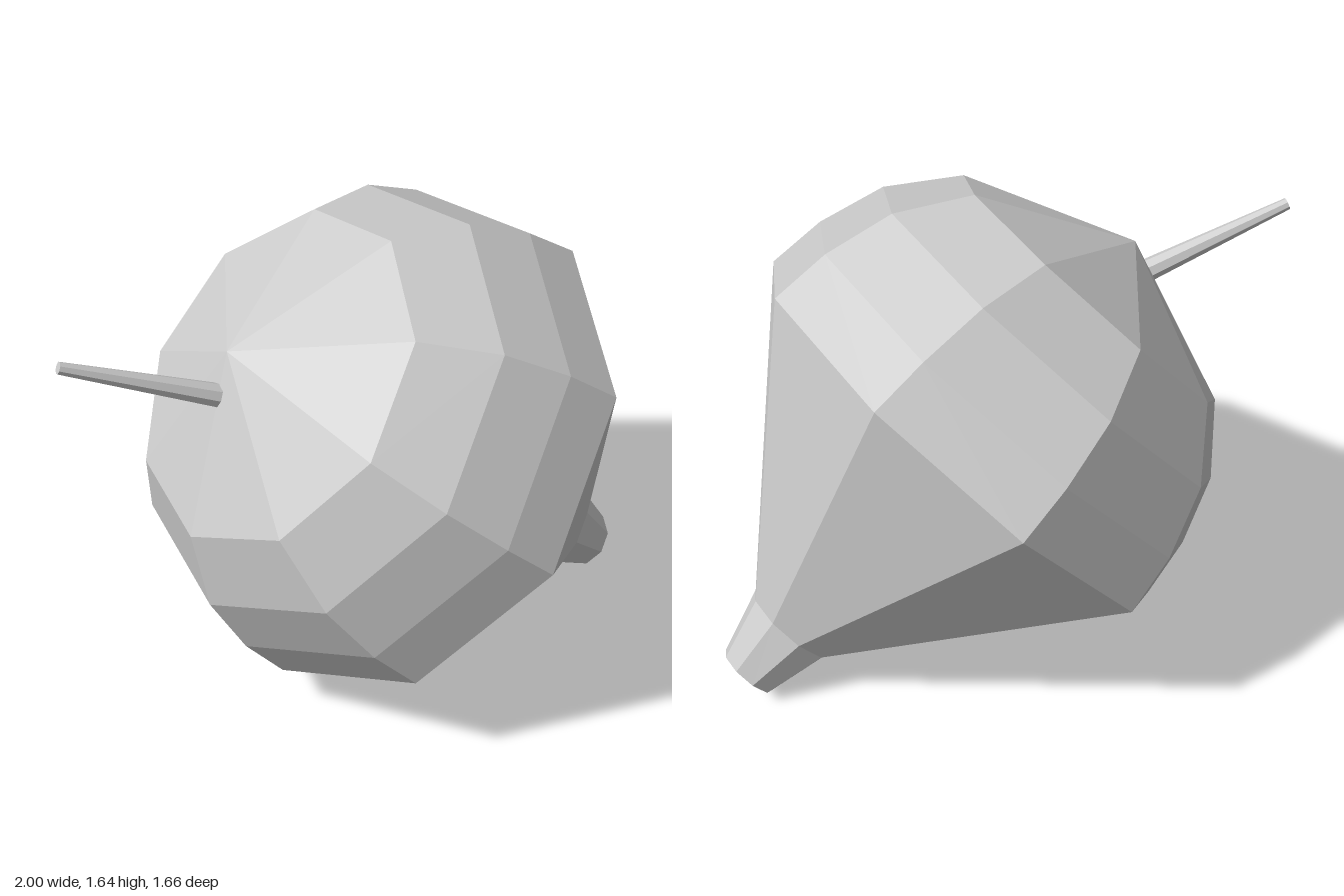
import * as THREE from 'three';

const SIDES = 9;

export function createModel() {
  const group = new THREE.Group();
  const material = new THREE.MeshStandardMaterial({ color: 0xcccccc, flatShading: true });

  // Tilted frame: local y runs from the crown of the dome down to the tip
  const axis = new THREE.Vector3(0.725, -0.671, -0.16).normalize();
  const side = new THREE.Vector3(0.68, 0.73, 0).projectOnPlane(axis).normalize();
  const across = new THREE.Vector3().crossVectors(axis, side);
  const frame = new THREE.Matrix4()
    .makeBasis(across, axis, side)
    .setPosition(-0.47, 1.37, 0.13);

  // Adds one faceted section of the body from [radius, distance] pairs
  function addSection(name, profile) {
    const points = profile.map(([r, t]) => new THREE.Vector2(r, t));
    const mesh = new THREE.Mesh(new THREE.LatheGeometry(points, SIDES), material);
    mesh.name = name;
    mesh.applyMatrix4(frame);
    group.add(mesh);
  }

  addSection('dome', [[0, 0], [0.565, 0.217], [0.741, 0.424], [0.823, 0.651], [0.853, 0.854]]);
  addSection('cone', [[0.853, 0.854], [0.165, 1.71]]);
  addSection('tip', [[0.165, 1.71], [0.105, 1.93], [0, 1.93]]);

  // Thin tapered stick leaning out of the dome beside its crown
  const start = new THREE.Vector3(-0.51, 1.232, 0.152);
  const end = new THREE.Vector3(-0.992, 1.428, 0.143);
  const direction = end.clone().sub(start);
  const stick = new THREE.Mesh(
    new THREE.CylinderGeometry(0.02, 0.039, direction.length(), 8),
    material
  );
  stick.name = 'stick';
  stick.position.copy(start).add(end).multiplyScalar(0.5);
  stick.quaternion.setFromUnitVectors(new THREE.Vector3(0, 1, 0), direction.normalize());
  group.add(stick);

  return group;
}
